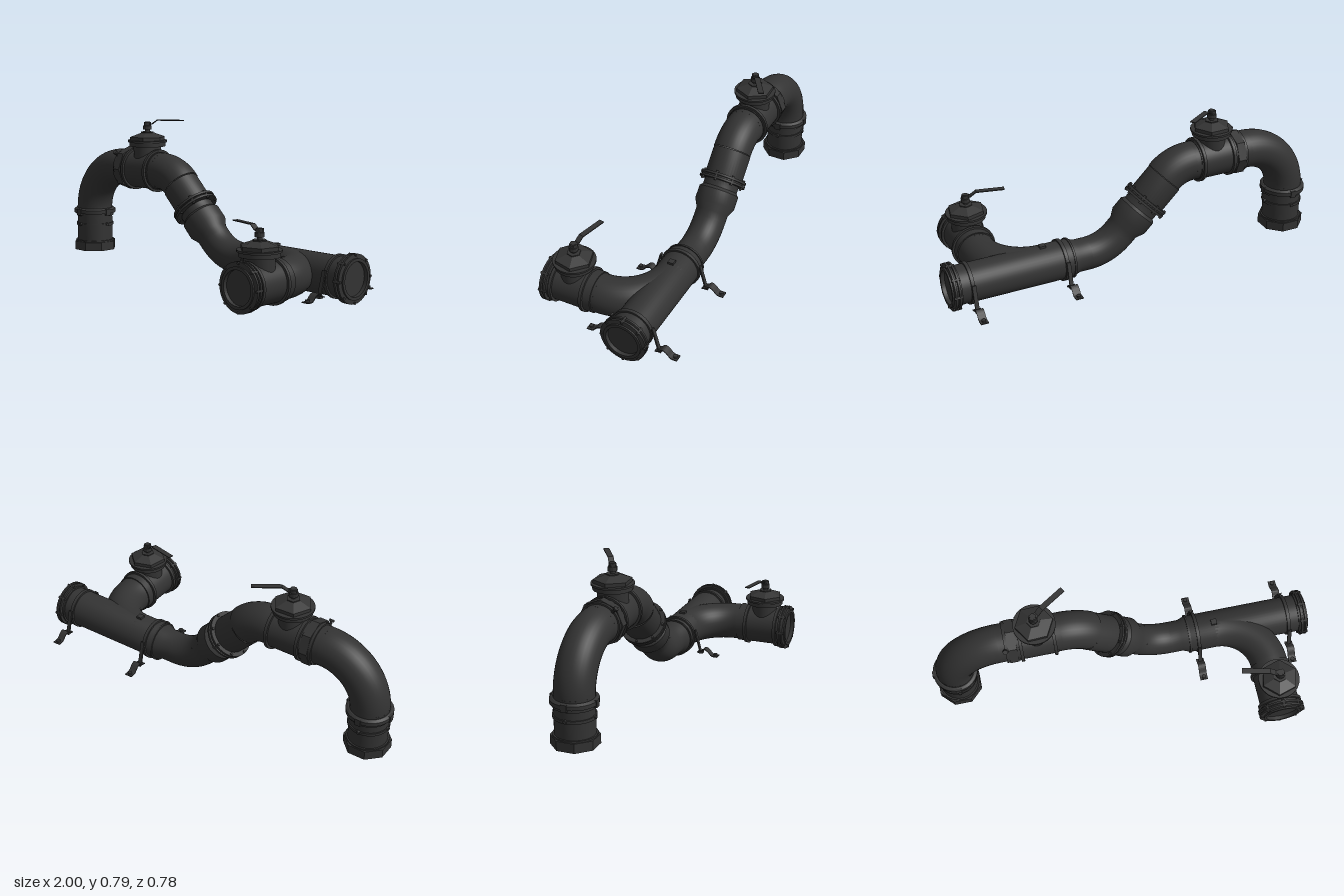
import * as THREE from 'three';
import { toCreasedNormals } from 'three/addons/utils/BufferGeometryUtils.js';

const mat = new THREE.MeshStandardMaterial({ color: 0x333333, side: THREE.DoubleSide });
const UP = new THREE.Vector3(0, 1, 0);
const X = [1, 0, 0], Y = [0, 1, 0], Z = [0, 0, 1], DIAG = [Math.SQRT1_2, -Math.SQRT1_2, 0];
const AXIS_Z = -0.15, LOW = 0.125, HIGH = 0.52, R = 0.098;

function add(parent, name, geometry) {
  const m = new THREE.Mesh(geometry, mat);
  m.name = name;
  parent.add(m);
  return m;
}

// Turned part: profile of [radius, distance] pairs along a direction
function turned(parent, name, profile, pos, dir = Y, sides = 40) {
  const pts = profile.map(([r, t]) => new THREE.Vector2(r, t));
  const geo = toCreasedNormals(new THREE.LatheGeometry(pts, sides), sides > 10 ? 0.5 : 0.3);
  const m = add(parent, name, geo);
  m.position.set(...pos);
  m.quaternion.setFromUnitVectors(UP, new THREE.Vector3(...dir));
  return m;
}

// Solid disc of given radius between two distances
const disc = (r, a, b) => [[0, a], [r, a], [r, b], [0, b]];
// Hollow ring
const ring = (r, inner, a, b) => [[inner, a], [r, a], [r, b], [inner, b], [inner, a]];

// Pipe bend in the xy plane, angles in degrees
function bend(parent, name, center, bendR, r, from, to) {
  const rad = Math.PI / 180;
  const geo = new THREE.TorusGeometry(bendR, r, 32, 24, (to - from) * rad).rotateZ(from * rad);
  const m = add(parent, name, geo);
  m.position.set(...center);
  return m;
}

// Bent flat strip following [x, y] points, width along z
function strip(parent, name, points, thick, width) {
  const low = points.map(([x, y]) => new THREE.Vector2(x, y));
  const high = points.map(([x, y]) => new THREE.Vector2(x, y + thick)).reverse();
  const geo = new THREE.ExtrudeGeometry(new THREE.Shape([...low, ...high]), { depth: width, bevelEnabled: false });
  return add(parent, name, geo.translate(0, 0, -width / 2));
}

// Bolts in a circle around the y axis of a flange
function bolts(flange, count, radius, a, b, size) {
  for (let i = 0; i < count; i++) {
    const t = (i / count) * Math.PI * 2;
    const bolt = add(flange, 'bolt', new THREE.CylinderGeometry(size, size, b - a, 8));
    bolt.position.set(radius * Math.cos(t), (a + b) / 2, radius * Math.sin(t));
  }
}

// Gate valve with its pipe along local x
function valve(parent, name, pos, turn, handleTurn) {
  const g = new THREE.Group();
  g.name = name;
  g.position.set(...pos);
  g.rotation.y = turn;
  parent.add(g);
  turned(g, 'valveBody', disc(0.102, -0.1, 0.1), [0, 0, 0], X);
  for (const s of [-1, 1]) turned(g, 'bodyRing', disc(0.114, -0.008, 0.008), [s * 0.085, 0, 0], X);
  // Oblong neck below the bonnet
  const neck = turned(g, 'neck', disc(0.068, 0, 0.14), [0, 0, 0]);
  neck.scale.z = 1.16;
  turned(g, 'bonnetFlange', [[0, 0.128], [0.098, 0.128], [0.098, 0.15], [0.106, 0.15], [0.106, 0.16], [0, 0.16]], [0, 0, 0]);
  const hex = turned(g, 'bonnet', [[0, 0.16], [0.096, 0.16], [0.096, 0.178], [0.035, 0.2], [0.035, 0.205], [0, 0.205]], [0, 0, 0], Y, 6);
  hex.rotation.y = handleTurn;
  turned(g, 'stem', [[0, 0.2], [0.013, 0.2], [0.013, 0.217], [0.023, 0.217], [0.023, 0.238], [0.014, 0.24],
    [0.014, 0.258], [0, 0.258]], [0, 0, 0], Y, 12);
  const nut = add(g, 'stemNut', new THREE.CylinderGeometry(0.02, 0.02, 0.02, 6));
  nut.position.y = 0.246;
  const handle = strip(g, 'handle', [[-0.015, 0.244], [0.025, 0.244], [0.055, 0.266], [0.2, 0.266]], 0.005, 0.028);
  handle.rotation.y = handleTurn;
}

// Bolted end coupling with a recessed cover
function endCoupling(parent, name, pos, dir) {
  const c = turned(parent, name, [[0, 0], [0.106, 0], [0.106, 0.01], [0.12, 0.01], [0.12, 0.02], [0.112, 0.022],
    [0.112, 0.028], [0.12, 0.03], [0.12, 0.04], [0.099, 0.042], [0.099, 0.05], [0.084, 0.05], [0.084, 0.03], [0, 0.03]], pos, dir);
  bolts(c, 8, 0.114, 0.004, 0.046, 0.007);
}

// Strap around the main pipe with two springy feet
function support(parent, x) {
  const g = new THREE.Group();
  g.name = 'support';
  g.position.set(x, 0, AXIS_Z);
  parent.add(g);
  turned(g, 'strap', ring(0.107, 0.09, -0.009, 0.009), [0, LOW, 0], X);
  for (const s of [-1, 1]) {
    const side = new THREE.Group();
    side.name = 'foot';
    side.rotation.y = s * Math.PI / 2;
    g.add(side);
    const bar = add(side, 'bar', new THREE.BoxGeometry(0.008, 0.13, 0.02));
    bar.position.set(0.125, 0.105, 0);
    bar.rotation.z = 0.26;
    const path = new THREE.SplineCurve([[0.125, 0.045], [0.145, 0.05], [0.165, 0.066], [0.185, 0.058], [0.205, 0.037],
      [0.22, 0.032], [0.242, 0.032]].map((p) => new THREE.Vector2(...p)));
    strip(side, 'footStrip', path.getPoints(20).map((p) => [p.x, p.y]), 0.005, 0.04);
    const bolt = add(side, 'footBolt', new THREE.CylinderGeometry(0.011, 0.011, 0.012, 8));
    bolt.position.set(0.226, 0.041, 0);
    const clamp = add(side, 'clampBolt', new THREE.BoxGeometry(0.026, 0.012, 0.026));
    clamp.position.set(0.142, 0.047, 0);
  }
}

export function createModel() {
  const g = new THREE.Group();
  g.name = 'pipeAssembly';
  const z = AXIS_Z;

  // Inlet: open riser with faceted collar and coupling ring
  turned(g, 'inletPipe', ring(R, 0.086, 0.05, 0.28), [-0.88, 0, z]);
  turned(g, 'inletCollar', ring(0.118, 0.088, 0.032, 0.08), [-0.88, 0, z], Y, 8).rotation.y = Math.PI / 8;
  turned(g, 'inletLip', ring(0.106, 0.09, 0.08, 0.088), [-0.88, 0, z]);
  turned(g, 'couplingRing', [[0.09, 0.225], [0.104, 0.225], [0.104, 0.24], [0.116, 0.242], [0.116, 0.262],
    [0.104, 0.27], [0.09, 0.27]], [-0.88, 0, z]);
  turned(g, 'inletRing', ring(0.104, 0.09, 0.17, 0.185), [-0.88, 0, z]);
  for (let i = 0; i < 4; i++) {
    const t = (i * Math.PI) / 2;
    const lug = add(g, 'couplingLug', new THREE.BoxGeometry(0.018, 0.036, 0.03));
    lug.position.set(-0.88 + 0.11 * Math.cos(t), 0.25, z + 0.11 * Math.sin(t));
    lug.rotation.y = -t;
    const knob = add(g, 'inletKnob', new THREE.CylinderGeometry(0.009, 0.009, 0.02, 8).rotateZ(Math.PI / 2));
    knob.position.set(-0.88 + 0.1 * Math.cos(t), 0.18, z + 0.1 * Math.sin(t));
    knob.rotation.y = -t;
  }
  bend(g, 'inletElbow', [-0.63, 0.27, z], 0.25, R, 90, 180);

  // Upper run with union nut, valve and 45 degree bend
  turned(g, 'upperPipe', disc(R, -0.632, -0.31), [0, HIGH, z], X);
  turned(g, 'unionNut', disc(0.117, -0.585, -0.54), [0, HIGH, z], X, 8);
  turned(g, 'unionLip', disc(0.106, -0.6, -0.53), [0, HIGH, z], X);
  turned(g, 'petcock', [[0, 0.08], [0.007, 0.08], [0.007, 0.118], [0.013, 0.118], [0.013, 0.128], [0, 0.128]],
    [-0.6, HIGH, z], [0, Math.SQRT1_2, Math.SQRT1_2], 10);
  valve(g, 'upperValve', [-0.435, HIGH, z], 0, 0.57);
  bend(g, 'upperBend', [-0.313, HIGH - 0.2, z], 0.2, R, 45, 90);

  // Sloping run, flanged joint and reducer; distances run from the joint
  const joint = [-0.067, 0.35, z];
  turned(g, 'slopePipe', [[R, -0.15], [R, 0], [0.09, 0.015], [0.09, 0.05], [0.104, 0.065], [0.104, 0.133],
    [0.083, 0.175], [0.083, 0.215]], joint, DIAG);
  const flange = turned(g, 'jointFlange', [[0.08, -0.016], [0.12, -0.016], [0.12, -0.004], [0.11, -0.003], [0.11, 0.003],
    [0.12, 0.004], [0.12, 0.016], [0.08, 0.016]], joint, DIAG);
  bolts(flange, 8, 0.111, -0.024, 0.024, 0.007);
  bend(g, 'lowerBend', [0.262, LOW + 0.25, z], 0.25, 0.083, 225, 270);

  // Lower main with reducer and end coupling
  turned(g, 'mainPipe', [[0.083, 0.26], [0.083, 0.32], [R, 0.36], [R, 0.96]], [0, LOW, z], X);
  turned(g, 'mainRing', ring(0.103, 0.09, 0.355, 0.365), [0, LOW, z], X);
  endCoupling(g, 'mainEnd', [0.95, LOW, z], X);
  const plug = add(g, 'plug', new THREE.BoxGeometry(0.03, 0.022, 0.03));
  plug.position.set(0.5, LOW + R, z);
  for (const x of [0.405, 0.895]) support(g, x);

  // Swept branch with valve, facing forward
  bend(g, 'branchElbow', [0.5, LOW, 0.1], 0.25, R, -90, 0).rotation.x = Math.PI / 2;
  turned(g, 'branchPipe', disc(R, 0.098, 0.35), [0.75, LOW, 0], Z);
  turned(g, 'branchRing', disc(0.104, 0.11, 0.15), [0.75, LOW, 0], Z);
  valve(g, 'branchValve', [0.75, LOW, 0.245], -Math.PI / 2, Math.PI * 1.5 - 0.22);
  endCoupling(g, 'branchEnd', [0.75, LOW, 0.343], Z);
  return g;
}
